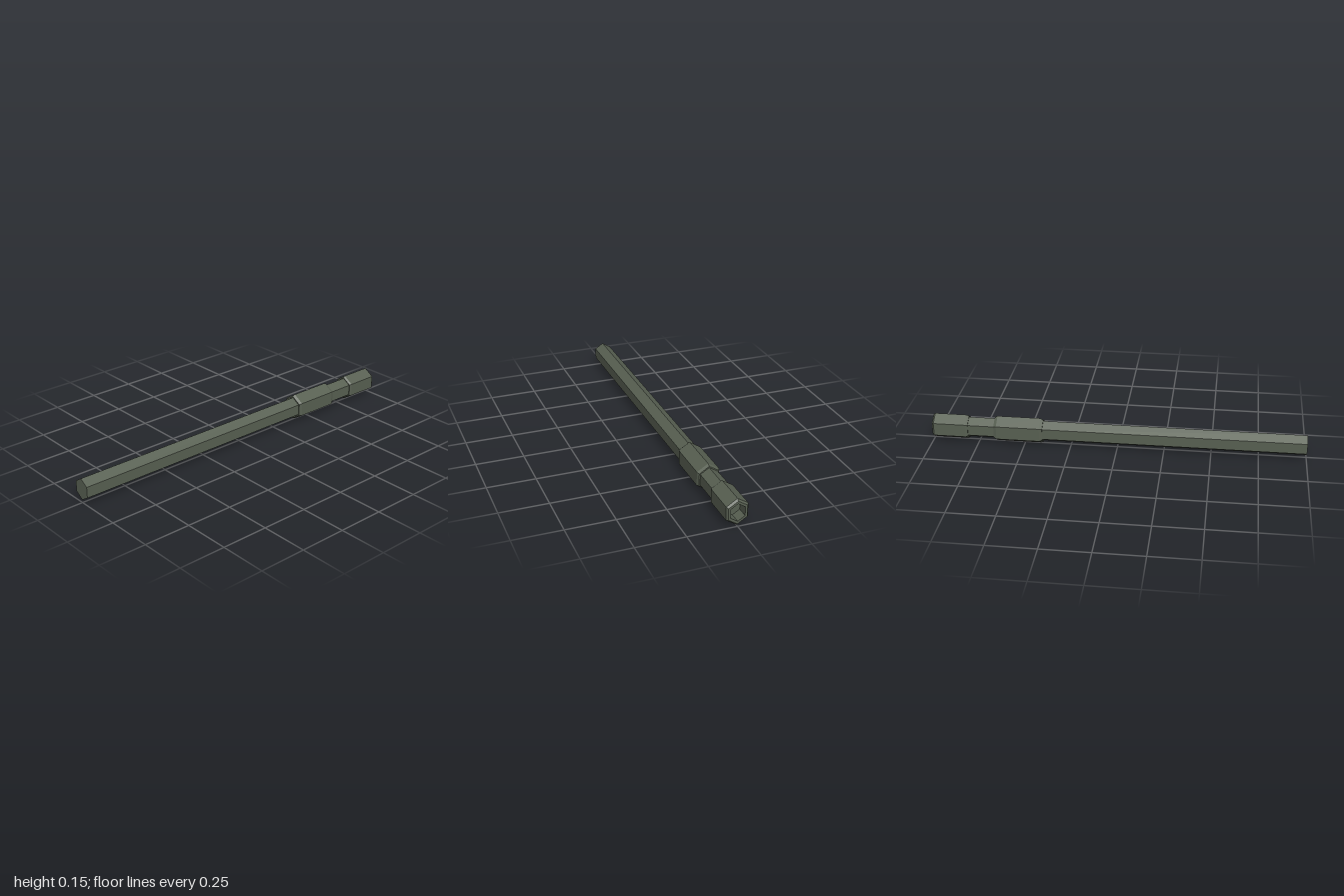
import * as THREE from 'three';

const SIDES = 6;
const FLATTEN = 0.91; // hexagon is slightly narrower in z
const AXIS_Y = 0.073;

// Six-sided bar section along x from [x, radius] points, left to right
function hexPart(name, points, material) {
  const profile = points.map(([x, r]) => new THREE.Vector2(r, x));
  const lathe = new THREE.LatheGeometry(profile, SIDES, Math.PI / 2);
  lathe.rotateZ(-Math.PI / 2);
  lathe.scale(1, 1, FLATTEN);
  lathe.translate(0, AXIS_Y, 0);
  const geometry = lathe.toNonIndexed();
  geometry.computeVertexNormals(); // crisp flat facets
  const mesh = new THREE.Mesh(geometry, material);
  mesh.name = name;
  return mesh;
}

export function createModel() {
  const group = new THREE.Group();
  group.name = 'hexBar';
  const steel = new THREE.MeshStandardMaterial({ color: 0x586052 });
  steel.name = 'darkGreenGrey';

  const rod = 0.058;
  group.add(
    // Long shank with a flat closed end
    hexPart('shank', [[-1, 0], [-1, rod], [0.4, rod]], steel),
    // Thick collar, chamfered at both ends
    hexPart('collar', [
      [0.4, rod], [0.4, 0.065], [0.415, 0.073],
      [0.648, 0.073], [0.663, 0.065], [0.663, rod],
    ], steel),
    // Narrow neck between collar and socket
    hexPart('neck', [[0.663, rod], [0.805, rod]], steel),
    // Socket head: chamfered outside, hexagonal recess in the end
    hexPart('socket', [
      [0.805, rod], [0.805, 0.063], [0.816, 0.07],
      [0.99, 0.07], [1, 0.06], [1, 0.046], [0.94, 0.046], [0.94, 0],
    ], steel),
  );
  return group;
}
